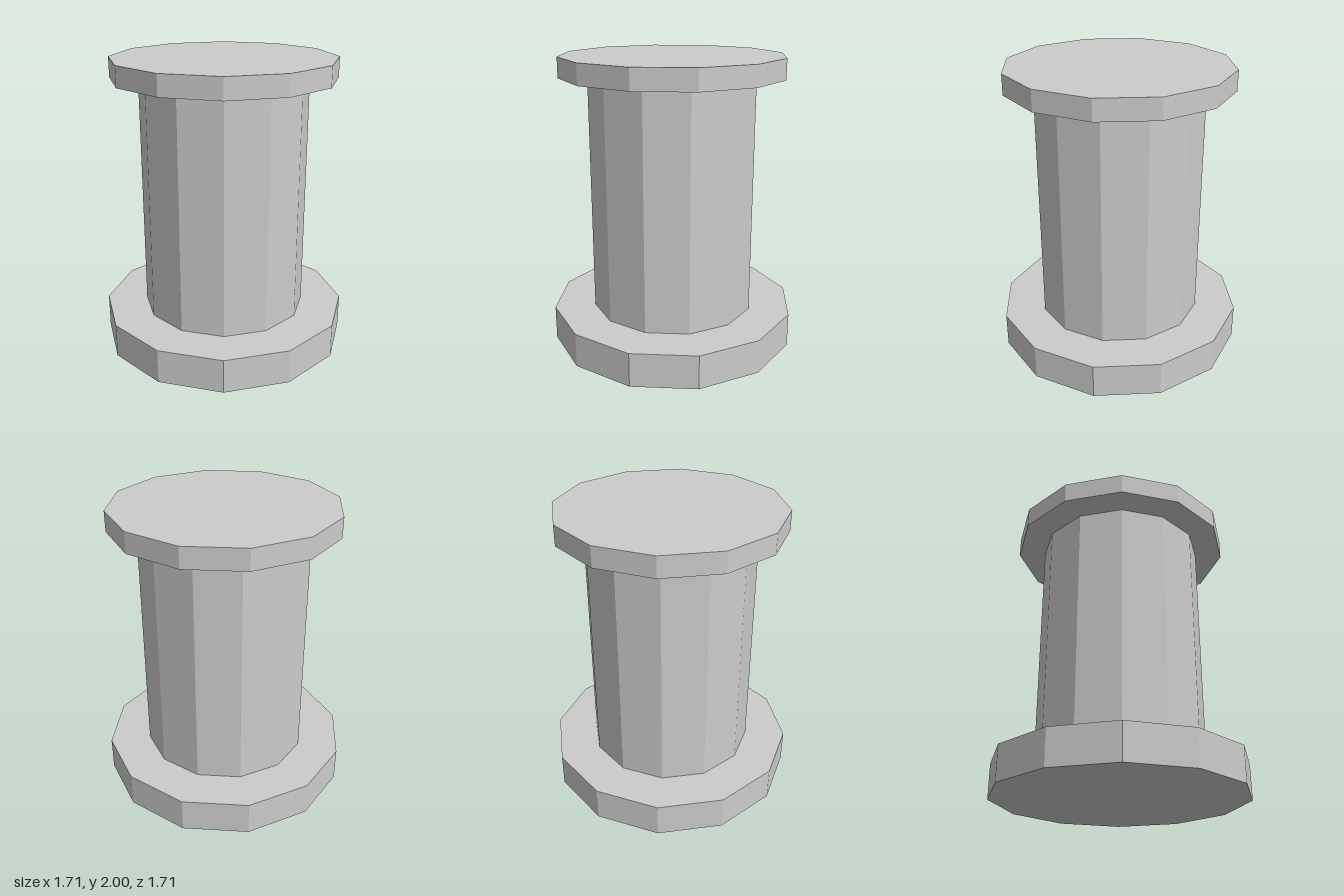
import * as THREE from 'three';

export function createModel() {
  const group = new THREE.Group();
  group.name = 'spool';
  const grey = new THREE.MeshStandardMaterial({ color: 0xcccccc, flatShading: true });
  grey.name = 'light grey';

  // Twelve-sided drum between two heights, with a corner on each axis
  function drum(name, radius, bottom, top, open = false) {
    const geometry = new THREE.CylinderGeometry(radius, radius, top - bottom, 12, 1, open);
    const mesh = new THREE.Mesh(geometry, grey);
    mesh.name = name;
    mesh.position.y = (bottom + top) / 2;
    group.add(mesh);
  }

  drum('base', 0.855, 0, 0.237);
  drum('shaft', 0.57, 0.237, 1.862, true); // ends are covered by base and cap
  drum('cap', 0.76, 1.862, 2);

  return group;
}
